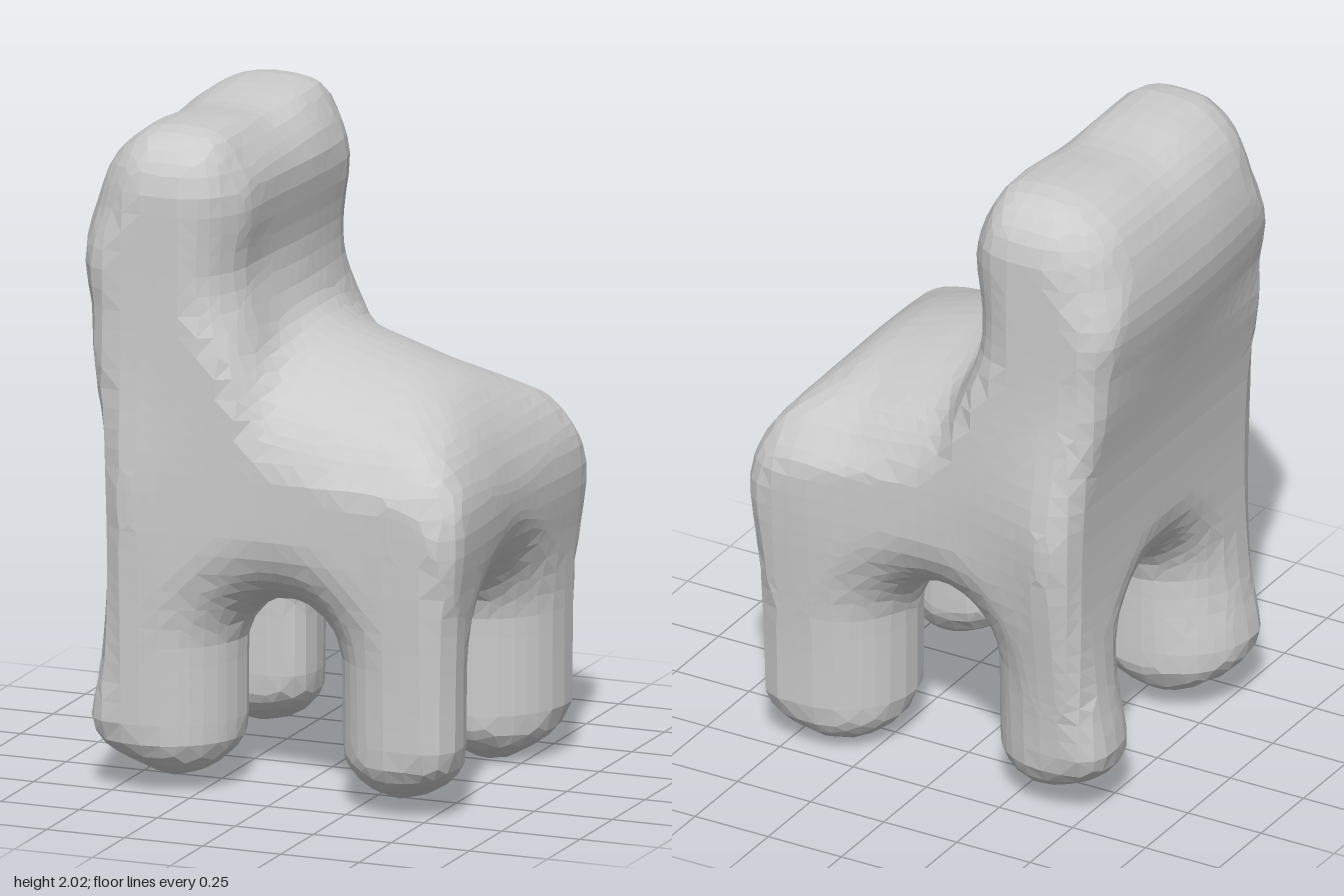
import * as THREE from 'three';

const CELL = 0.06;
const { smoothstep, clamp } = THREE.MathUtils;

// Intersection of two distances with a rounded edge of radius r
const roundMax = (a, b, r) =>
  Math.min(-r, Math.max(a, b)) + Math.hypot(Math.max(r + a, 0), Math.max(r + b, 0));

// Side profile of backrest and seat (x, y); it runs on below the ground
const outline = new THREE.SplineCurve([
  [-0.575, -0.3], [-0.575, 0.0], [-0.575, 0.2], [-0.54, 0.4], [-0.52, 0.7], [-0.53, 1.05],
  [-0.57, 1.33], [-0.625, 1.6], [-0.61, 1.76], [-0.55, 1.91], [-0.42, 2.0], [-0.22, 2.0],
  [-0.13, 1.94], [-0.075, 1.83], [-0.1, 1.6], [-0.075, 1.43], [0.02, 1.35], [0.2, 1.29],
  [0.38, 1.225], [0.52, 1.12], [0.6, 0.99], [0.625, 0.85], [0.6, 0.6], [0.595, 0.2], [0.595, -0.3],
].map(([x, y]) => new THREE.Vector2(x, y))).getPoints(72);

// Signed distance to the profile, negative inside
function profile(x, y) {
  let best = Infinity, inside = false;
  for (let i = 0, j = outline.length - 1; i < outline.length; j = i++) {
    const a = outline[i], b = outline[j];
    const ex = b.x - a.x, ey = b.y - a.y, wx = x - a.x, wy = y - a.y;
    const t = clamp((wx * ex + wy * ey) / (ex * ex + ey * ey), 0, 1);
    best = Math.min(best, Math.hypot(wx - t * ex, wy - t * ey));
    if ((a.y > y) !== (b.y > y) && x < a.x + ((y - a.y) / ey) * ex) inside = !inside;
  }
  return inside ? -best : best;
}

// Round-topped passage between the legs
const arch = (s, y) => Math.hypot(s, Math.max(y - 0.425, 0)) - 0.165;

// The soft chair as one field: profile, padded sides, two crossing arches, pointed feet
function chair(x, y, z) {
  // Padded sides, fullest at seat height and towards the corners
  const puff = Math.exp(-(((y - 0.92) / (y > 0.92 ? 0.3 : 0.45)) ** 2));
  const bow = Math.min(1, 6 * x * x);
  const right = 0.55 + 0.022 * puff * bow;
  const left = 0.495 + puff * (0.01 + (x < 0 ? 0.07 : 0.03) * bow);
  const sides = Math.max(z - right, -left - z);

  // Crowned seat that flattens towards its front, softer front corners on the backrest
  const seat = smoothstep(x, -0.2, 0.0) * smoothstep(y, 0.8, 1.05);
  const crown = seat * (1 - smoothstep(x, 0.25, 0.65));
  const soft = smoothstep(x, -0.45, -0.2) * smoothstep(y, 1.25, 1.5) * (1 - smoothstep(x, -0.05, 0.1));
  const edge = 0.09 + 0.05 * seat + Math.max(0.11 * soft, 0.1 * smoothstep(y, 1.55, 1.8));
  const dip = 0.02 * smoothstep(y, 1.6, 1.8) * Math.exp(-(((z - 0.02) / 0.15) ** 2));

  // Hollow seat front, bowed back, backrest front turned slightly
  const hollow = 0.022 * Math.exp(-((z / 0.25) ** 2)) * smoothstep(x, 0.4, 0.55);
  const bend = 0.12 * z * z * smoothstep(y, 1.3, 1.5) * (1 - smoothstep(x, -0.5, -0.35));
  const turn = 0.03 * smoothstep(z, -0.2, 0.35) * smoothstep(y, 1.4, 1.6) * smoothstep(x, -0.3, -0.15);
  const drop = 0.75 * crown * (z - 0.02) ** 2;
  let d = roundMax(profile(x + hollow - bend + turn, y + dip + drop), sides, edge);

  // Passages along x and z leave four legs with flared tops
  const passages = roundMax(-arch(x - 0.015, y), -arch(z - 0.035, y), 0.1);
  d = roundMax(d, passages, 0.24);

  // Each foot tapers to a blunt tip
  const tip = Math.hypot(x - (x > 0.015 ? 0.385 : -0.34), z - (z > 0.035 ? 0.365 : -0.315));
  const floor = (x > 0.015 && z < 0.035 ? -0.01 : 0.03) + 0.55 * Math.max(0, tip - 0.05);
  return roundMax(d, floor - y, 0.07);
}

// Which part of the chair a point belongs to
function partAt({ x, y, z }) {
  if (y > 1.36) return 'backrest';
  if (y > 0.55) return 'seat';
  return (z > 0.035 ? 'front' : 'back') + (x > 0.015 ? 'LeftLeg' : 'RightLeg');
}

// Pull a point onto the zero surface of the field along its slope
function settle(p, field) {
  const e = 0.01;
  for (let pass = 0; pass < 3; pass++) {
    const slope = new THREE.Vector3(
      field(p.x + e, p.y, p.z) - field(p.x - e, p.y, p.z),
      field(p.x, p.y + e, p.z) - field(p.x, p.y - e, p.z),
      field(p.x, p.y, p.z + e) - field(p.x, p.y, p.z - e),
    ).divideScalar(2 * e);
    const move = field(p.x, p.y, p.z) / Math.max(slope.lengthSq(), 0.5);
    p.addScaledVector(slope, -clamp(move, -0.02, 0.02));
  }
  return p;
}

// Skin the field with quads, one vertex per crossed cell, sorted by part
function skin(field) {
  const min = [-0.78, -0.12, -0.75], n = [27, 38, 26];
  const at = (i, a) => min[a] + i * CELL;
  const id = (i, j, k) => (k * n[1] + j) * n[0] + i;
  const values = new Float32Array(n[0] * n[1] * n[2]);
  const each = (fn) => {
    for (let k = 0; k < n[2]; k++)
      for (let j = 0; j < n[1]; j++)
        for (let i = 0; i < n[0]; i++) fn(i, j, k);
  };
  each((i, j, k) => { values[id(i, j, k)] = field(at(i, 0), at(j, 1), at(k, 2)); });

  const step = [1, n[0], n[0] * n[1]];
  const points = new Map();
  each((i, j, k) => {
    if (i === n[0] - 1 || j === n[1] - 1 || k === n[2] - 1) return;
    const cell = id(i, j, k), sum = new THREE.Vector3();
    let count = 0;
    for (let c = 0; c < 8; c++) {
      for (let a = 0; a < 3; a++) {
        if (c & (1 << a)) continue;
        const o = [c & 1, (c >> 1) & 1, (c >> 2) & 1];
        const p = cell + o[0] + o[1] * step[1] + o[2] * step[2];
        const v0 = values[p], v1 = values[p + step[a]];
        if ((v0 < 0) === (v1 < 0)) continue;
        o[a] += v0 / (v0 - v1);
        sum.add(new THREE.Vector3(...o));
        count++;
      }
    }
    if (!count) return;
    sum.multiplyScalar(CELL / count).add(new THREE.Vector3(at(i, 0), at(j, 1), at(k, 2)));
    points.set(cell, settle(sum, field));
  });

  const parts = {};
  each((i, j, k) => {
    const p = id(i, j, k);
    for (let a = 0; a < 3; a++) {
      if ([i, j, k][a] === n[a] - 1 || (values[p] < 0) === (values[p + step[a]] < 0)) continue;
      const u = step[(a + 1) % 3], v = step[(a + 2) % 3];
      const q = [p, p - u, p - u - v, p - v].map((c) => points.get(c));
      if (values[p] >= 0) q.reverse();
      // Split along the shorter diagonal
      if (q[1].distanceTo(q[3]) < q[0].distanceTo(q[2])) q.push(q.shift());
      const mid = q[0].clone().add(q[1]).add(q[2]).add(q[3]).multiplyScalar(0.25);
      const list = (parts[partAt(mid)] ??= []);
      for (const c of [0, 1, 2, 0, 2, 3]) list.push(...q[c].toArray());
    }
  });
  return parts;
}

export function createModel() {
  const group = new THREE.Group();
  group.name = 'chair';
  const material = new THREE.MeshStandardMaterial({ color: 0xcccccc, flatShading: true });
  for (const [name, positions] of Object.entries(skin(chair))) {
    const geometry = new THREE.BufferGeometry();
    geometry.setAttribute('position', new THREE.Float32BufferAttribute(positions, 3));
    geometry.computeVertexNormals();
    const mesh = new THREE.Mesh(geometry, material);
    mesh.name = name;
    group.add(mesh);
  }
  return group;
}
